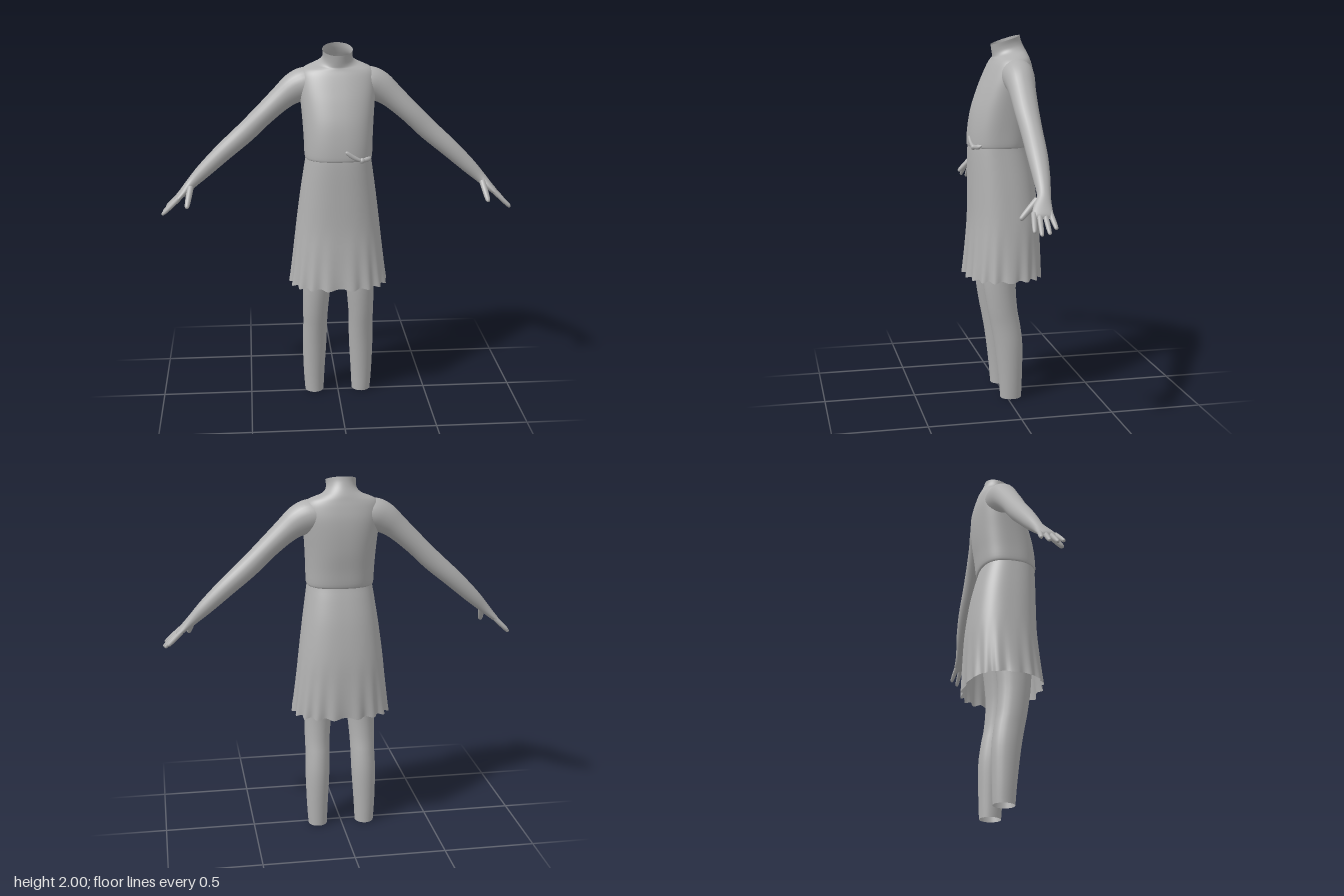
import * as THREE from 'three';

const gray = new THREE.MeshStandardMaterial({ color: 0xb0b0b0, side: THREE.DoubleSide });
gray.name = 'plain gray';

// Smoothly resample rows of numbers (Catmull-Rom on every column)
function resample(rows, steps) {
  const out = [];
  const at = (i) => rows[Math.max(0, Math.min(rows.length - 1, i))];
  for (let i = 0; i < rows.length - 1; i++) {
    for (let s = 0; s < steps; s++) {
      const t = s / steps;
      out.push(rows[i].map((b, k) => {
        const a = at(i - 1)[k], c = at(i + 1)[k], d = at(i + 2)[k];
        return b + 0.5 * t * (c - a + t * (2 * a - 5 * b + 4 * c - d + t * (3 * (b - c) + d - a)));
      }));
    }
  }
  out.push(rows[rows.length - 1]);
  return out;
}

// Skin over closed rings of equal point count
function skin(name, rings) {
  const n = rings[0].length, index = [];
  for (let i = 0; i < rings.length - 1; i++) {
    for (let j = 0; j < n; j++) {
      const a = i * n + j, b = i * n + (j + 1) % n;
      index.push(a, a + n, b, b, a + n, b + n);
    }
  }
  const g = new THREE.BufferGeometry().setFromPoints(rings.flat());
  g.setIndex(index);
  g.computeVertexNormals();
  const mesh = new THREE.Mesh(g, gray);
  mesh.name = name;
  return mesh;
}

// Upright loft; rows: [y, centre x, half width, z front, z back, tilt, roundness power, ripple]
function loft(name, rows, sides, steps) {
  return skin(name, resample(rows, steps).map(([y, cx, w, zf, zb, tilt, power, ripple]) => {
    const ring = [], zc = (zf + zb) / 2, d = (zf - zb) / 2;
    for (let j = 0; j < sides; j++) {
      const a = (j / sides) * Math.PI * 2, wave = Math.cos(a * 18) * ripple;
      const c = Math.cos(a), s = Math.sin(a);
      const x = Math.sign(c) * Math.abs(c) ** (2 / power) * (w + wave);
      const z = Math.sign(s) * Math.abs(s) ** (2 / power) * (d + wave);
      ring.push(new THREE.Vector3(cx + x, y + tilt * z - wave * 0.7, zc + z));
    }
    return ring;
  }));
}

// Elliptical sweep; rows: [x, y, z, thickness radius, depth radius]
function sweep(name, rows, sides, steps) {
  const fine = resample(rows, steps);
  const pts = fine.map((r) => new THREE.Vector3(r[0], r[1], r[2]));
  const zAxis = new THREE.Vector3(0, 0, 1);
  return skin(name, fine.map((r, i) => {
    const t = pts[Math.min(i + 1, pts.length - 1)].clone().sub(pts[Math.max(i - 1, 0)]).normalize();
    const u = t.clone().cross(zAxis).normalize(), v = u.clone().cross(t);
    return Array.from({ length: sides }, (_, j) => {
      const a = (j / sides) * Math.PI * 2;
      return pts[i].clone().addScaledVector(u, Math.cos(a) * r[3]).addScaledVector(v, Math.sin(a) * r[4]);
    });
  }));
}

// Rounded finger from a to b
function finger(name, a, b, r) {
  const p = (t, k) => [...a.map((v, i) => v + (b[i] - v) * t), r * k, r * k];
  return sweep(name, [p(0, 1.1), p(0.35, 1.05), p(0.7, 0.95), p(0.92, 0.75), p(0.98, 0.45), p(1, 0.02)], 10, 2);
}

function side(name, sign) {
  const g = new THREE.Group();
  g.name = name;
  g.scale.x = sign;
  // Arm running into a flat palm
  g.add(sweep('arm', [
    [0.10, 1.795, -0.05, 0.075, 0.085],
    [0.17, 1.79, -0.05, 0.088, 0.088],
    [0.23, 1.765, -0.05, 0.083, 0.08],
    [0.30, 1.713, -0.048, 0.067, 0.07],
    [0.40, 1.622, -0.046, 0.058, 0.063],
    [0.50, 1.525, -0.048, 0.056, 0.056],
    [0.62, 1.42, -0.047, 0.05, 0.052],
    [0.73, 1.318, -0.042, 0.041, 0.042],
    [0.80, 1.25, -0.034, 0.03, 0.034],
    [0.845, 1.205, -0.018, 0.022, 0.046],
    [0.882, 1.17, -0.008, 0.015, 0.053],
    [0.896, 1.157, -0.006, 0.002, 0.04],
  ], 24, 4));
  // Four fingers and the thumb
  const tips = [[0.943, 1.11, -0.062], [0.96, 1.09, -0.025], [0.966, 1.085, 0.016], [0.957, 1.1, 0.05]];
  tips.forEach((tip, i) => g.add(finger('finger', [0.87, 1.18, -0.047 + i * 0.027], tip, 0.0125)));
  g.add(finger('thumb', [0.805, 1.235, 0.0], [0.826, 1.14, 0.09], 0.016));
  // Leg, open at the ankle
  g.add(loft('leg', [
    [0, 0.135, 0.053, 0.035, -0.083, 0, 2, 0],
    [0.12, 0.136, 0.06, 0.045, -0.087, 0, 2, 0],
    [0.3, 0.133, 0.068, 0.067, -0.09, 0, 2, 0],
    [0.42, 0.13, 0.068, 0.088, -0.077, 0, 2, 0],
    [0.52, 0.128, 0.071, 0.107, -0.06, 0, 2, 0],
    [0.69, 0.12, 0.08, 0.13, -0.055, 0, 2, 0],
    [0.95, 0.105, 0.095, 0.14, -0.09, 0, 2, 0],
  ], 24, 3));
  return g;
}

export function createModel() {
  const model = new THREE.Group();
  model.name = 'dressed figure';

  // Flared skirt with a rippled hem
  model.add(loft('skirt', [
    [0.688, 0, 0.267, 0.21, -0.206, 0, 2.5, 0.008],
    [0.75, 0, 0.26, 0.205, -0.207, 0, 2.5, 0.005],
    [0.87, 0, 0.247, 0.195, -0.205, 0, 2.5, 0.002],
    [1.02, 0, 0.23, 0.185, -0.198, 0, 2.5, 0],
    [1.2, 0, 0.207, 0.184, -0.175, 0, 2.5, 0],
    [1.33, 0, 0.188, 0.184, -0.147, 0, 2.5, 0],
    [1.41, 0, 0.176, 0.181, -0.125, 0, 2.5, 0],
    [1.45, 0, 0.172, 0.172, -0.12, 0, 2.5, 0],
  ], 144, 4));

  // Bodice, shoulders and open slanted neck
  model.add(loft('bodice', [
    [1.402, 0, 0.175, 0.178, -0.123, 0, 2.5, 0],
    [1.415, 0, 0.183, 0.187, -0.137, 0, 2.5, 0],
    [1.5, 0, 0.186, 0.182, -0.148, 0, 2.5, 0],
    [1.6, 0, 0.192, 0.165, -0.163, 0, 2.4, 0],
    [1.7, 0, 0.2, 0.132, -0.17, 0, 2.4, 0],
    [1.78, 0, 0.206, 0.098, -0.168, 0, 2.4, 0],
    [1.84, 0, 0.204, 0.07, -0.157, 0, 2.3, 0],
    [1.872, 0, 0.185, 0.055, -0.147, -0.05, 2.2, 0],
    [1.89, 0, 0.15, 0.05, -0.14, -0.12, 2, 0],
    [1.905, 0, 0.108, 0.048, -0.13, -0.22, 2, 0],
    [1.925, 0, 0.085, 0.05, -0.117, -0.3, 2, 0],
    [1.95, 0, 0.079, 0.054, -0.106, -0.32, 2, 0],
    [1.975, 0, 0.082, 0.058, -0.1, -0.32, 2, 0],
  ], 64, 4));

  // Small tie at the waist
  const tie = new THREE.Group();
  tie.name = 'waistTie';
  tie.add(sweep('tieLoop', [
    [0.025, 1.46, 0.184, 0.001, 0.001],
    [0.035, 1.455, 0.185, 0.01, 0.008],
    [0.07, 1.43, 0.184, 0.012, 0.01],
    [0.11, 1.412, 0.177, 0.01, 0.012],
    [0.15, 1.414, 0.157, 0.013, 0.012],
    [0.168, 1.424, 0.142, 0.001, 0.001],
  ], 12, 4));
  const knot = new THREE.Mesh(new THREE.SphereGeometry(0.015, 16, 12), gray);
  knot.name = 'tieKnot';
  knot.position.set(0.115, 1.41, 0.178);
  tie.add(knot);
  model.add(tie);

  model.add(side('leftLimbs', 1), side('rightLimbs', -1));
  return model;
}
